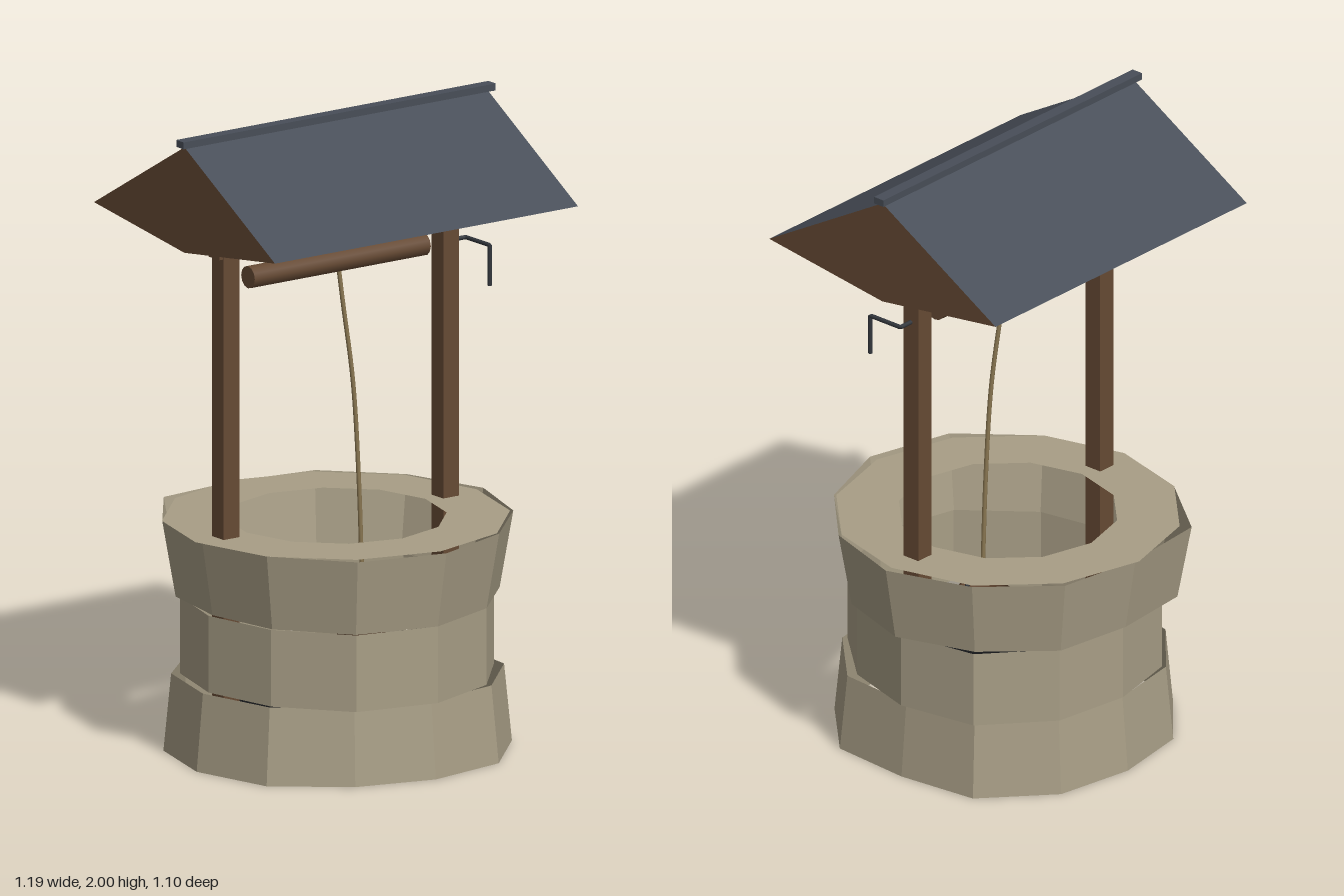
import * as THREE from 'three';

const mat = (name, color, extra = {}) => {
  const m = new THREE.MeshStandardMaterial({ color, ...extra });
  m.name = name;
  return m;
};

export function createModel() {
  const model = new THREE.Group();
  model.name = 'well';
  const open = { side: THREE.DoubleSide, flatShading: true };
  const stone = mat('stone', 0xa89e86, open);
  const wood = mat('wood', 0x664a34, { side: THREE.DoubleSide });
  const slate = mat('slate', 0x484e58, open);
  const metal = mat('metal', 0x33373d, { side: THREE.DoubleSide });
  const rope = mat('rope', 0x8a7752);
  const water = mat('water', 0x141618, { side: THREE.DoubleSide });

  // Everything shares one axis, slightly behind the origin
  const Z = -0.01;
  const add = (name, geometry, material, x = 0, y = 0, z = 0) => {
    const mesh = new THREE.Mesh(geometry, material);
    mesh.name = name;
    mesh.position.set(x, y, z + Z);
    model.add(mesh);
    return mesh;
  };
  const box = (name, m, w, h, d, x, y, z) =>
    add(name, new THREE.BoxGeometry(w, h, d), m, x, y, z);
  const tube = (name, m, pts, r, n = 24) => {
    const curve = new THREE.CatmullRomCurve3(pts.map(p => new THREE.Vector3(...p)));
    return add(name, new THREE.TubeGeometry(curve, n, r, 8), m);
  };

  // Three uneven twelve-sided stone courses, open above and below
  const courses = [
    { name: 'lowerStoneRing', y0: 0, y1: 0.243, r0: 0.515, r1: 0.492,
      k: [0.99, 1.05, 1.05, 0.95, 1.03, 1, 0.95, 1, 1.03, 1.03, 1.04, 0.98] },
    { name: 'middleStoneRing', y0: 0.243, y1: 0.485, r0: 0.5, r1: 0.5,
      k: [1.04, 1, 0.97, 0.985, 1.04, 1, 0.94, 0.96, 0.96, 0.97, 1, 1.06] },
    { name: 'upperStoneRing', y0: 0.485, y1: 0.725, r0: 0.503, r1: 0.545,
      k: [1.035, 0.995, 1, 1.03, 1, 1.015, 0.955, 1.05, 0.98, 0.935, 0.98, 1.04] },
  ];
  for (const c of courses) {
    const g = new THREE.CylinderGeometry(c.r1, c.r0, c.y1 - c.y0, 12, 1, true);
    const p = g.attributes.position;
    for (let i = 0; i < p.count; i++) {
      const a = Math.atan2(p.getX(i), p.getZ(i)) / (Math.PI / 6);
      const f = c.k[(Math.round(a) + 12) % 12];
      p.setX(i, p.getX(i) * f);
      p.setZ(i, p.getZ(i) * f);
    }
    g.computeVertexNormals();
    add(c.name, g, stone, 0, (c.y0 + c.y1) / 2);
  }

  // Flat rim and water
  add('rim', new THREE.RingGeometry(0.34, 0.535, 12).rotateX(-Math.PI / 2), stone, 0, 0.725);
  add('waterSurface', new THREE.CircleGeometry(0.31, 24).rotateX(-Math.PI / 2), water, 0, 0.165);

  // Timber frame
  for (const s of [1, -1])
    box(s > 0 ? 'leftPost' : 'rightPost', wood, 0.06, 1.68, 0.06, s * 0.418 - 0.002, 0.84, 0);
  box('crossbeam', wood, 0.925, 0.065, 0.055, -0.002, 1.642, 0);

  // Winding drum
  add('drum', new THREE.CylinderGeometry(0.035, 0.035, 0.67, 12).rotateZ(Math.PI / 2), wood, 0, 1.53);

  // Crank: out of the post, forward, then down to the grip
  const crank = new THREE.CurvePath();
  const knee = [[0.44, 1.527, 0], [0.494, 1.527, 0], [0.494, 1.527, 0.123], [0.494, 1.4, 0.123]]
    .map(p => new THREE.Vector3(...p));
  for (let i = 0; i < 3; i++) crank.add(new THREE.LineCurve3(knee[i], knee[i + 1]));
  add('crank', new THREE.TubeGeometry(crank, 60, 0.007, 8), metal);

  // Rope hanging from the drum into the well
  tube('rope', rope, [[0, 1.575, 0], [0.015, 1.4, 0.015], [0.04, 1.15, 0.033],
    [0.055, 0.85, 0.042], [0.065, 0.55, 0.045]], 0.007);

  // Bucket with an arched handle
  const bucket = [[0, 0.3], [0.07, 0.3], [0.09, 0.46], [0.08, 0.46], [0.062, 0.31], [0, 0.31]]
    .map(p => new THREE.Vector2(...p));
  add('bucket', new THREE.LatheGeometry(bucket, 12), wood, 0.065, 0, 0.045);
  add('bucketHandle', new THREE.TorusGeometry(0.085, 0.007, 6, 16, Math.PI), metal, 0.065, 0.46, 0.045);

  // Roof slopes: two open sheets between ridge and eaves
  const W = 0.577, ridgeY = 1.978, eaveY = 1.708, eaveZ = 0.462;
  for (const s of [1, -1]) {
    const slope = Math.hypot(eaveZ, ridgeY - eaveY);
    const g = new THREE.PlaneGeometry(2 * W, slope);
    g.rotateX(-Math.atan2(eaveZ, ridgeY - eaveY));
    g.translate(0, (ridgeY + eaveY) / 2, eaveZ / 2);
    if (s < 0) g.rotateY(Math.PI);
    add(s > 0 ? 'frontRoofSlope' : 'backRoofSlope', g, slate);
  }

  // Kite-shaped gable boards
  const kite = new THREE.Shape([[0, 1.645], [eaveZ, eaveY], [0, ridgeY], [-eaveZ, eaveY]]
    .map(p => new THREE.Vector2(...p)));
  for (const s of [1, -1])
    add(s > 0 ? 'leftGable' : 'rightGable',
      new THREE.ShapeGeometry(kite).rotateY(s * Math.PI / 2), wood, s * W);

  // Ridge cap
  box('ridgeCap', slate, 1.188, 0.022, 0.038, 0, 1.989, 0);

  return model;
}
